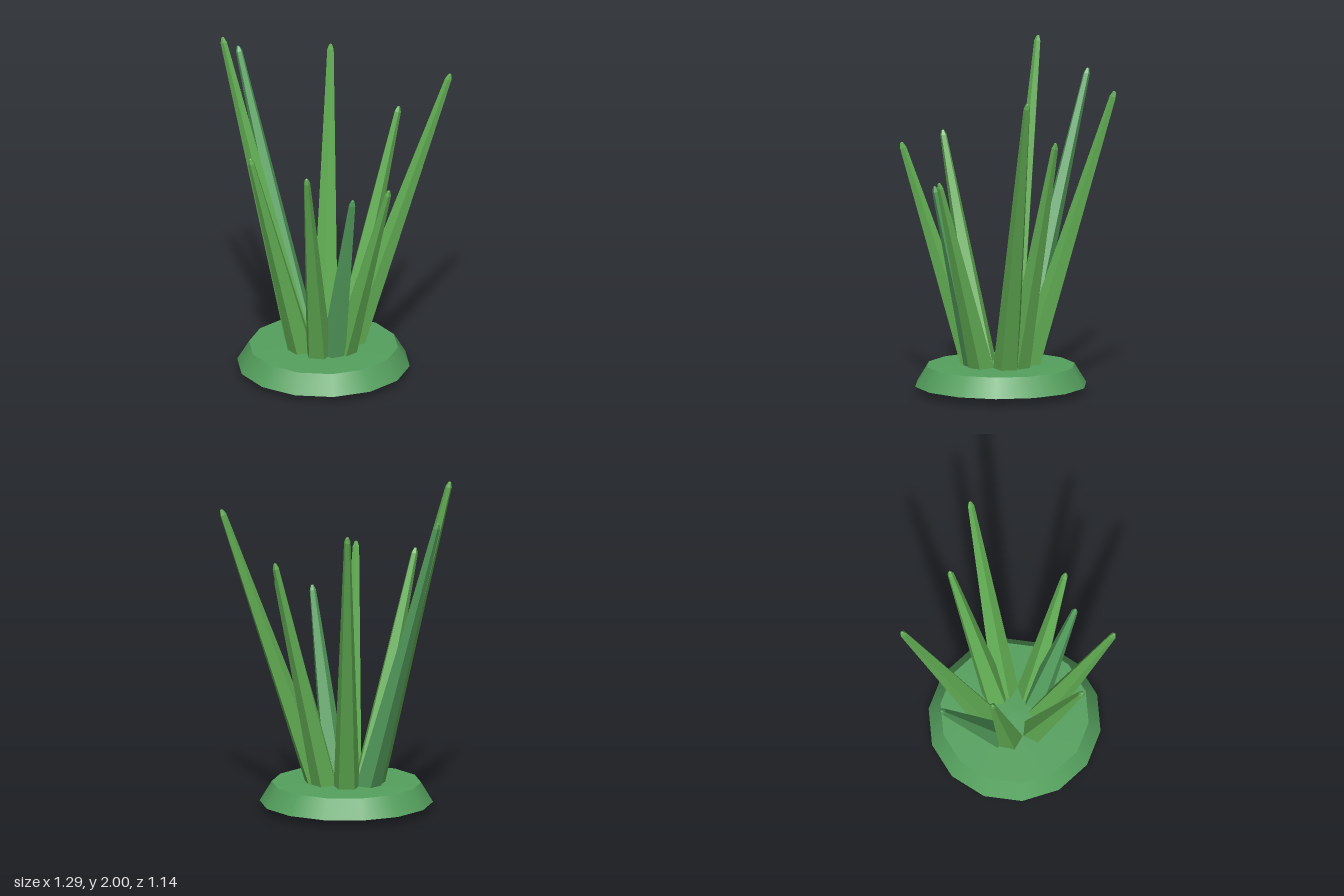
import * as THREE from 'three';

const leafGreen = new THREE.MeshStandardMaterial({ color: 0x62ae54 });
leafGreen.name = 'leafGreen';
const coolGreen = new THREE.MeshStandardMaterial({ color: 0x55a05e });
coolGreen.name = 'coolGreen';

const CENTRE = new THREE.Vector3(0.065, 0.02, 0.02);

// Tip of each blade, and its colour
const BLADES = [
  [-0.25, 1.775, -0.565, leafGreen],
  [0.28, 1.54, -0.465, leafGreen],
  [0.63, 1.825, -0.47, leafGreen],
  [-0.64, 1.82, -0.17, coolGreen],
  [-0.565, 2.0, 0.12, leafGreen],
  [-0.13, 1.475, 0.515, leafGreen],
  [0.285, 1.46, 0.56, leafGreen],
  [0.42, 1.245, 0.265, coolGreen],
  [0.59, 1.3, 0.14, leafGreen],
];

// Five-sided tapering blade with a short blunt point, one ridge facing the middle
function makeBlade(x, y, z, material) {
  const tip = new THREE.Vector3(x, y, z);
  const outward = new THREE.Vector3(x - CENTRE.x, 0, z - CENTRE.z).normalize();
  const root = CENTRE.clone().addScaledVector(outward, 0.12);
  const length = root.distanceTo(tip);
  const profile = [[0, 0], [0.084, 0], [0.02, length - 0.035], [0.009, length - 0.005], [0, length]]
    .map(([r, h]) => new THREE.Vector2(r, h));
  const geometry = new THREE.LatheGeometry(profile, 5).toNonIndexed();
  geometry.computeVertexNormals();

  const up = tip.clone().sub(root).normalize();
  const inward = outward.clone().negate();
  inward.addScaledVector(up, -inward.dot(up)).normalize();
  const side = new THREE.Vector3().crossVectors(up, inward);
  geometry.applyMatrix4(new THREE.Matrix4().makeBasis(side, up, inward).setPosition(root));
  return new THREE.Mesh(geometry, material);
}

export function createModel() {
  const group = new THREE.Group();
  group.name = 'spikyPlant';

  // Bevelled fourteen-sided base
  const base = new THREE.Mesh(
    new THREE.CylinderGeometry(0.435, 0.505, 0.115, 14, 1, false, Math.PI / 2), coolGreen);
  base.name = 'base';
  base.position.set(CENTRE.x, 0.0975, CENTRE.z);
  group.add(base);

  // Slight crown on top of the base
  const crown = new THREE.Mesh(
    new THREE.ConeGeometry(0.435, 0.015, 14, 1, true, Math.PI / 2), coolGreen);
  crown.name = 'baseCrown';
  crown.position.set(CENTRE.x, 0.1625, CENTRE.z);
  group.add(crown);

  // Ring of blades
  BLADES.forEach(([x, y, z, material], i) => {
    const blade = makeBlade(x, y, z, material);
    blade.name = `blade${i + 1}`;
    group.add(blade);
  });
  return group;
}
